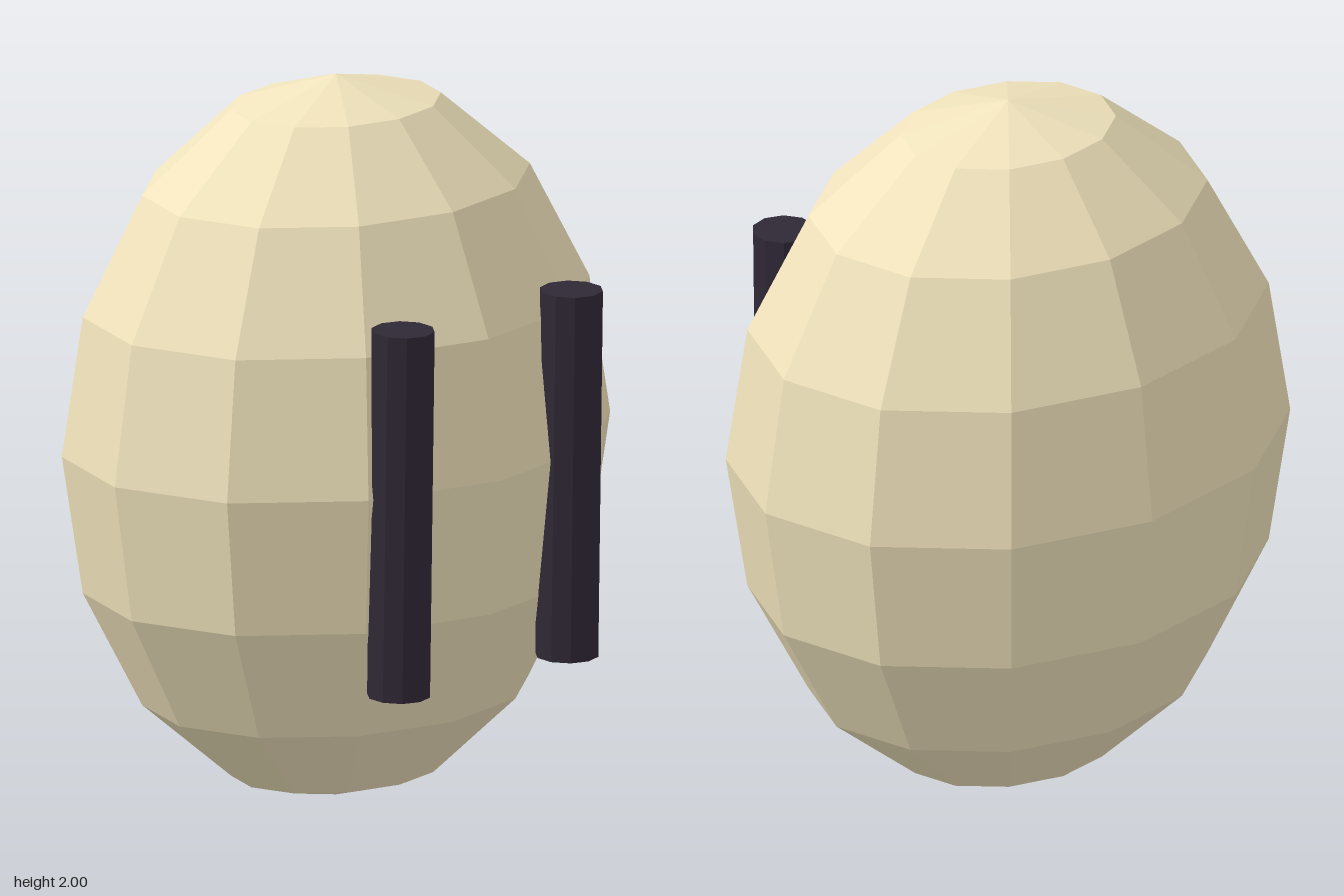
import * as THREE from 'three';

export function createModel() {
  const group = new THREE.Group();
  const cream = new THREE.MeshStandardMaterial({ color: 0xf0e3bc, flatShading: true });
  const dark = new THREE.MeshStandardMaterial({ color: 0x2f2836, flatShading: true });

  // Faceted ellipsoid body
  const body = new THREE.Mesh(new THREE.SphereGeometry(1, 12, 8), cream);
  body.name = 'body';
  body.scale.set(0.807, 1, 0.652);
  body.position.set(0, 1, -0.016);
  group.add(body);

  // Two tall bar eyes, tilted very slightly forward at the top
  for (const side of [1, -1]) {
    const eye = new THREE.Mesh(new THREE.CylinderGeometry(0.086, 0.086, 1.018, 10), dark);
    eye.name = side > 0 ? 'leftEye' : 'rightEye';
    eye.position.set(side * 0.307, 0.955, 0.572);
    eye.rotation.x = 0.018;
    group.add(eye);
  }
  return group;
}
